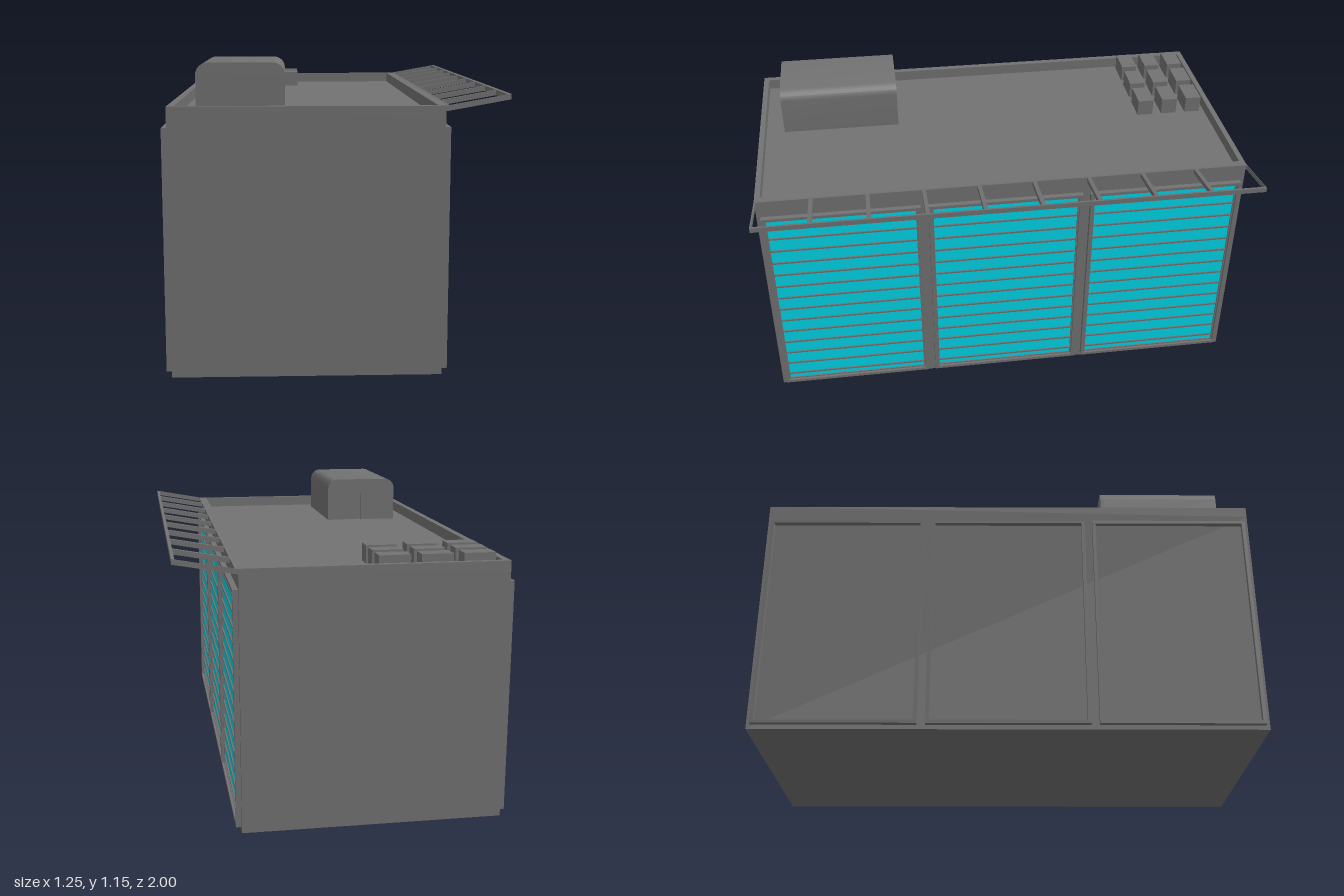
import * as THREE from 'three';
import { toCreasedNormals } from 'three/addons/utils/BufferGeometryUtils.js';

const material = (name, color) => {
  const m = new THREE.MeshStandardMaterial({ color });
  m.name = name;
  return m;
};

export function createModel() {
  const concrete = material('concrete grey', 0x727272);
  const glass = material('cyan glass', 0x00d8ea);

  const model = new THREE.Group();
  model.name = 'building';
  const ROOF = 0.955, X0 = -0.606, X1 = 0.392;

  const add = (name, geometry, mat, parent = model) => {
    const mesh = new THREE.Mesh(geometry, mat);
    mesh.name = name;
    parent.add(mesh);
    return mesh;
  };

  // Box given by its lower and upper limits
  const box = (name, mat, [ax, ay, az], [bx, by, bz], parent = model) => {
    const geometry = new THREE.BoxGeometry(bx - ax, by - ay, bz - az);
    geometry.translate((ax + bx) / 2, (ay + by) / 2, (az + bz) / 2);
    return add(name, geometry, mat, parent);
  };

  // Rectangular ring in the xy plane, extruded along z
  const ring = (w, h, bw, bh, depth) => {
    const rect = (Type, a, b) => new Type().setFromPoints([[-a, -b], [a, -b], [a, b], [-a, b]]
      .map(([x, y]) => new THREE.Vector2(x / 2, y / 2))).closePath();
    const shape = rect(THREE.Shape, w, h);
    shape.holes.push(rect(THREE.Path, w - 2 * bw, h - 2 * bh));
    return new THREE.ExtrudeGeometry(shape, { depth, bevelEnabled: false });
  };

  // Main block with a parapet around the sunken roof
  box('body', concrete, [X0, 0, -1], [X1, ROOF, 1]);
  const parapet = add('parapet', ring(X1 - X0, 2, 0.026, 0.022, 1 - ROOF).rotateX(-Math.PI / 2), concrete);
  parapet.position.set((X0 + X1) / 2, ROOF, 0);

  // Three framed bays on each long side; barred glass on the left, blank on the right
  for (const z of [-0.667, 0, 0.667]) {
    for (const side of [1, -1]) {
      const bay = new THREE.Group();
      bay.name = side > 0 ? 'windowBay' : 'blankBay';
      bay.position.set(side > 0 ? X1 : X0, 0.47, z);
      bay.rotation.y = side * Math.PI / 2;
      model.add(bay);
      add('bayFrame', ring(0.635, 0.904, 0.014, 0.013, 0.021), concrete, bay);
      if (side < 0) continue;
      box('glassPane', glass, [-0.304, -0.439, 0], [0.304, 0.439, 0.005], bay);
      add('glazingFrame', ring(0.608, 0.88, 0.006, 0.006, 0.011), concrete, bay);
      for (let i = 0; i < 14; i++) {
        const y = 0.062 + i * 0.0626 - 0.47;
        box('glazingBar', concrete, [-0.298, y - 0.0035, 0.004], [0.298, y + 0.0035, 0.011], bay);
      }
    }
  }

  // Ladder-like canopy, sheared so that it slopes up from the left edge of the roof
  const canopy = new THREE.Group();
  canopy.name = 'canopy';
  canopy.position.set(X1, 0.98, 0);
  model.add(canopy);
  const reach = 0.232, t = 0.02;
  box('outerRail', concrete, [reach - 0.012, 0, -1], [reach, t, 1], canopy);
  box('innerRail', concrete, [0, 0, -1], [0.012, t, 1], canopy);
  for (let i = 0; i < 10; i++) {
    const z = -1.006 + i * 0.2231;
    box('crossBar', concrete, [0.012, 0, Math.max(z - 0.008, -1)],
      [reach - 0.012, t, Math.min(z + 0.008, 1)], canopy);
  }
  const slope = new THREE.Matrix4().makeShear(0.18, 0, 0, 0, 0, 0);
  for (const bar of canopy.children) {
    bar.geometry.applyMatrix4(slope);
    bar.geometry.computeVertexNormals();
  }

  // Roof hut with rounded top edges and a recessed doorway in its back end
  const hutSlice = (depth, door) => {
    const x0 = -0.508, x1 = -0.184, top = 1.15, r = 0.045;
    const s = new THREE.Shape();
    s.moveTo(x0, ROOF);
    if (door) {
      s.lineTo(-0.345, ROOF);
      s.lineTo(-0.345, ROOF + 0.13);
      s.lineTo(-0.263, ROOF + 0.13);
      s.lineTo(-0.263, ROOF);
    }
    s.lineTo(x1, ROOF);
    s.lineTo(x1, top - r);
    s.absarc(x1 - r, top - r, r, 0, Math.PI / 2, false);
    s.absarc(x0 + r, top - r, r, Math.PI / 2, Math.PI, false);
    s.closePath();
    return toCreasedNormals(
      new THREE.ExtrudeGeometry(s, { depth, bevelEnabled: false, curveSegments: 8 }), 0.5);
  };
  add('hutDoorWall', hutSlice(0.015, true), concrete).position.z = 0.4;
  add('hut', hutSlice(0.485, false), concrete).position.z = 0.415;

  // Grid of ventilation units on the back of the roof
  for (const x of [-0.501, -0.341, -0.181]) {
    for (const z of [-0.923, -0.814, -0.706]) {
      box('ventUnit', concrete, [x - 0.06, ROOF, z - 0.034], [x + 0.06, 1.025, z + 0.034]);
    }
  }

  return model;
}
